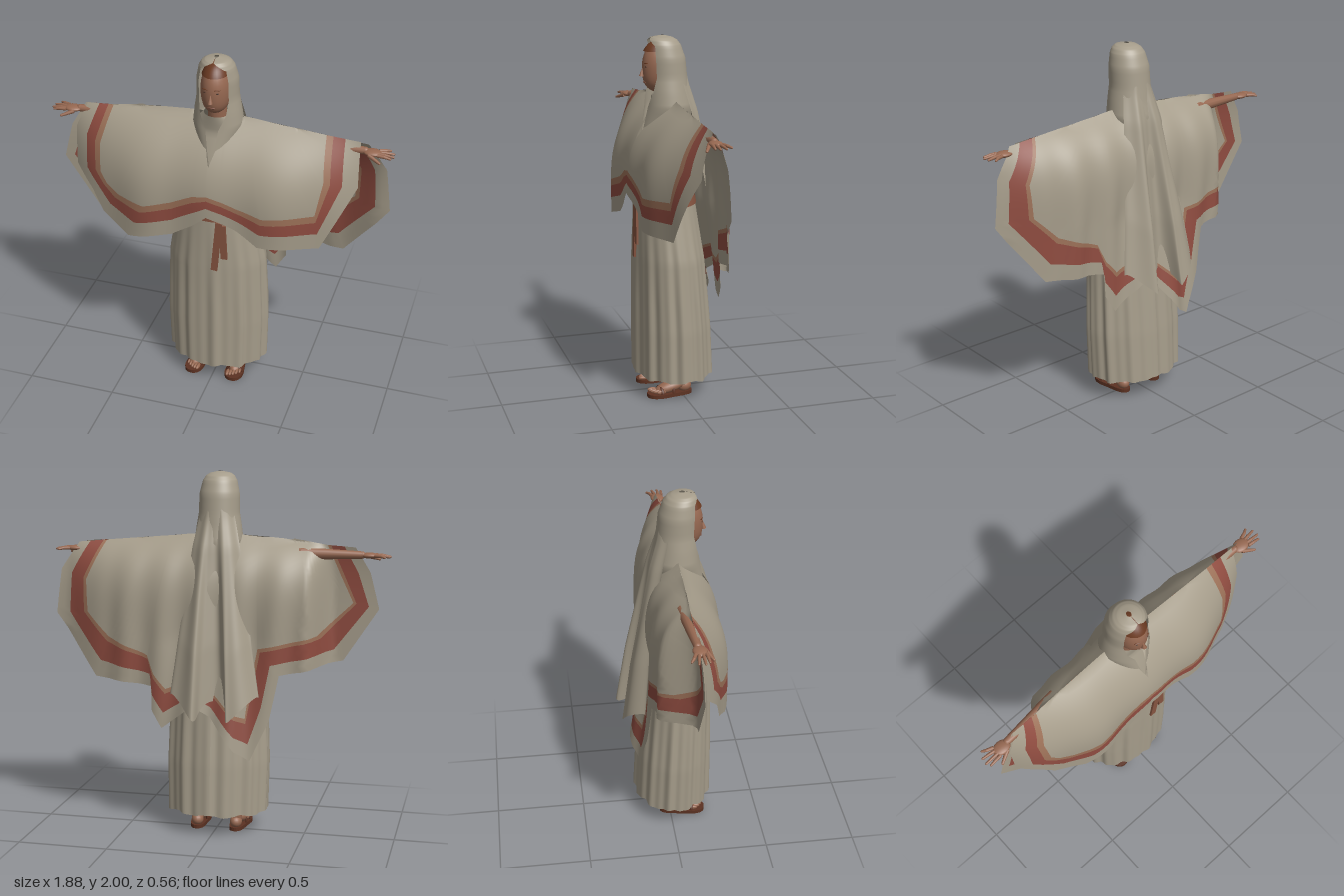
import * as THREE from 'three';

const mat = (name, color) => new THREE.MeshStandardMaterial({ name, color, side: THREE.DoubleSide });
const cloth = mat('cloth', 0xa59c8a), red = mat('redTrim', 0x8f4c40), tan = mat('tanTrim', 0x9c7158);
const skin = mat('skin', 0x966851), hair = mat('hair', 0x6a3a22), leather = mat('leather', 0x5c3222);
const sashMat = mat('sash', 0x865440), dark = mat('eyes', 0x4e3529), lip = mat('lips', 0x7d4f3f);

const clamp = (v, a = 0, b = 1) => Math.min(b, Math.max(a, v));
const lerp = THREE.MathUtils.lerp, smooth = THREE.MathUtils.smoothstep;

function mesh(name, geo, m, parent, pos = [0, 0, 0], scale = [1, 1, 1]) {
  const o = new THREE.Mesh(geo, m);
  o.name = name; o.position.set(...pos); o.scale.set(...scale);
  parent.add(o);
  return o;
}

// Grid surface from a rule; bandOf gives the material index for a row
function sheet(name, fn, nu, vs, mats, parent, bandOf = () => 0) {
  const p = [], idx = [], g = new THREE.BufferGeometry();
  for (const v of vs) for (let i = 0; i <= nu; i++) p.push(...fn(i / nu, v));
  vs.slice(1).forEach((v, j) => {
    const start = idx.length;
    for (let i = 0; i < nu; i++) {
      const a = j * (nu + 1) + i, b = a + nu + 1;
      idx.push(a, b, a + 1, b, b + 1, a + 1);
    }
    g.addGroup(start, idx.length - start, bandOf((v + vs[j]) / 2));
  });
  g.setAttribute('position', new THREE.Float32BufferAttribute(p, 3));
  g.setIndex(idx);
  g.computeVertexNormals();
  return mesh(name, g, mats, parent);
}
const steps = (n, a = 0, b = 1) => Array.from({ length: n + 1 }, (_, i) => lerp(a, b, i / n));

// Interpolate a table of rows at 0..1
function along(rows, t) {
  const s = clamp(t) * (rows.length - 1), i = Math.min(rows.length - 2, Math.floor(s));
  return rows[i].map((a, k) => lerp(a, rows[i + 1][k], s - i));
}
// Interpolate rows keyed by descending height
function atHeight(rows, y) {
  let i = 0;
  while (i < rows.length - 2 && y < rows[i + 1][0]) i++;
  const t = clamp((y - rows[i][0]) / (rows[i + 1][0] - rows[i][0]));
  return rows[i].map((a, k) => lerp(a, rows[i + 1][k], t));
}

// Tapered limb with a round end
function limb(name, a, b, ra, rb, m, parent) {
  const A = new THREE.Vector3(...a), B = new THREE.Vector3(...b), d = B.clone().sub(A);
  const o = mesh(name, new THREE.CylinderGeometry(rb, ra, d.length(), 12), m, parent, A.clone().add(B).multiplyScalar(0.5).toArray());
  o.quaternion.setFromUnitVectors(new THREE.Vector3(0, 1, 0), d.normalize());
  mesh(name + 'Tip', new THREE.SphereGeometry(rb, 12, 8), m, parent, b);
}

// Cape columns: shoulder x,y; inner trim edge x,y; hem x,y
const frontCols = [
  [-.42, 1.645, -.59, 1.615, -.74, 1.605], [-.41, 1.64, -.64, 1.42, -.80, 1.47], [-.38, 1.64, -.63, 1.27, -.80, 1.25],
  [-.34, 1.645, -.59, 1.21, -.69, 1.14], [-.3, 1.65, -.52, 1.17, -.62, 1.02], [-.22, 1.655, -.36, 1.15, -.46, .93],
  [-.14, 1.66, -.2, 1.2, -.2, 1.0], [-.06, 1.62, -.08, 1.26, -.08, 1.08], [0, 1.43, 0, 1.275, 0, 1.15],
  [.06, 1.62, .08, 1.255, .08, 1.125], [.14, 1.66, .16, 1.225, .16, 1.09], [.2, 1.655, .3, 1.19, .28, 1.01],
  [.34, 1.64, .57, 1.22, .6, 1.02], [.41, 1.635, .6, 1.4, .77, 1.37], [.42, 1.635, .58, 1.62, .76, 1.608]];
const backCols = [
  [.42, 1.635, .64, 1.615, .8, 1.6], [.40, 1.635, .74, 1.4, .9, 1.45], [.36, 1.64, .73, 1.22, .93, 1.2],
  [.3, 1.645, .6, 1.09, .68, .86], [.24, 1.65, .37, 1.0, .34, .83], [.2, 1.655, .33, .9, .34, .7],
  [.15, 1.66, .26, .82, .28, .6], [.1, 1.66, .12, .87, .1, .74], [0, 1.66, 0, .82, 0, .68],
  [-.08, 1.66, -.13, .7, -.14, .5], [-.13, 1.66, -.19, .68, -.22, .45], [-.18, 1.655, -.21, .85, -.32, .67],
  [-.24, 1.65, -.25, 1.06, -.37, .92], [-.3, 1.65, -.56, 1.13, -.69, .98], [-.36, 1.645, -.74, 1.3, -.88, 1.27],
  [-.40, 1.64, -.67, 1.45, -.83, 1.47], [-.42, 1.645, -.6, 1.615, -.75, 1.605]];
const drop = (x, y) => clamp((1.66 - .07 * Math.abs(x) - y) / .5);
function frontZ(x, y) {
  const t = drop(x, y), d = Math.max(0, Math.abs(x) - .25), reach = .272 - .6 * d * d;
  return .04 + (reach - .04) * (1 - Math.pow(1 - t, 2.7)) + .008 * t * Math.cos(x * 17);
}
function backZ(x, y) {
  const t = drop(x, y), g = 1 - Math.pow(1 - t, 4), ax = Math.abs(x), d = Math.max(0, ax - .35);
  const depth = Math.max(0, .13 - .5 * d * d) + .15 * clamp(1.1 - y) * (1 - smooth(ax, .1, .4));
  const folds = .014 * t * Math.sin(x * 30 + y * 2) * (1 - smooth(ax, .5, .75));
  return lerp(.04 - (depth + .04) * g + folds, .04 + .03 * g, smooth(-x, .5, .64));
}
function cape(name, cols, zOf, tanEnd, redEnd, parent) {
  const vs = [...steps(20), 1 + tanEnd, lerp(1 + tanEnd, 1 + redEnd, .5), 1 + redEnd, 1.8, 2];
  sheet(name, (u, v) => {
    const [ix, iy, bx, by, hx, hy] = along(cols, u);
    const x = v < 1 ? lerp(ix, bx, v) : lerp(bx, hx, v - 1), y = v < 1 ? lerp(iy, by, v) : lerp(by, hy, v - 1);
    return [x, y, zOf(x, y)];
  }, (cols.length - 1) * 8, vs, [cloth, tan, red], parent, v => v < 1 || v > 1 + redEnd ? 0 : v < 1 + tanEnd ? 1 : 2);
}

// Robe rows: height, half width, front z, back z
const robeRows = [[1.68, .07, .135, .0], [1.58, .16, .12, -.05], [1.45, .19, .16, -.07], [1.2, .2, .225, -.085],
  [1.12, .22, .232, -.095], [.8, .272, .238, -.145], [.4, .286, .24, -.18], [.12, .28, .24, -.195]];
function robePoint(u, y, grow = 0) {
  const [, a, f, b] = atHeight(robeRows, y), th = u * Math.PI * 2, k = clamp((1.15 - y) / .6);
  const r = 1 + grow + k * (.024 * Math.sin(13 * th) + .016 * Math.sin(23 * th + 1));
  const hem = y < .13 ? .006 * Math.sin(9 * th + 1) : 0;
  return [a * r * Math.sin(th), y + hem, (f + b) / 2 - (f - b) / 2 * r * Math.cos(th)];
}

// Hood rows: height, half width, front z, back z, half opening
const hoodRows = [[2, .012, .09, .06, .001], [1.99, .058, .14, .02, .002], [1.976, .078, .155, -.005, .03],
  [1.95, .094, .162, -.025, .068], [1.88, .11, .165, -.05, .08], [1.78, .112, .16, -.06, .08], [1.7, .125, .165, -.07, .07],
  [1.62, .135, .17, -.085, .035], [1.5, .1, .19, -.08, .018], [1.4, .06, .205, -.07, .001]];

function buildHead(root) {
  const head = new THREE.Group(); head.name = 'head'; root.add(head);
  // Face with a fuller jaw and chin
  const ball = new THREE.SphereGeometry(1, 28, 20), pos = ball.attributes.position;
  for (let i = 0; i < pos.count; i++) {
    const y = pos.getY(i), low = y < 0 ? y * y : 0;
    pos.setXYZ(i, pos.getX(i) * (1 + .22 * low), y, pos.getZ(i) * (1 + .35 * low));
  }
  ball.computeVertexNormals();
  mesh('face', ball, skin, head, [0, 1.835, .085], [.079, .14, .1]);
  mesh('hair', new THREE.SphereGeometry(1, 28, 10, 0, Math.PI * 2, 0, .98), hair, head, [0, 1.838, .088], [.086, .143, .108]);
  const nose = mesh('nose', new THREE.ConeGeometry(.013, .052, 10), skin, head, [0, 1.81, .186], [1, 1, 1.1]);
  nose.rotation.x = -.15;
  const dot = new THREE.SphereGeometry(1, 12, 8);
  mesh('mouth', dot, lip, head, [0, 1.752, .172], [.022, .005, .007]);
  for (const s of [-1, 1]) {
    mesh('eye', dot, dark, head, [s * .03, 1.838, .174], [.012, .004, .004]);
    const brow = mesh('brow', dot, hair, head, [s * .031, 1.856, .174], [.018, .003, .005]);
    brow.rotation.y = s * .35;
  }
  limb('neck', [0, 1.56, .05], [0, 1.74, .07], .055, .05, skin, head);
}

function buildArm(s, root) {
  const arm = new THREE.Group(); arm.name = s > 0 ? 'leftArm' : 'rightArm'; root.add(arm);
  const elbow = s > 0 ? [.46, 1.553, .032] : [-.46, 1.568, .02];
  limb('upperArm', [s * .16, 1.55, .02], elbow, .04, .034, skin, arm);
  limb('forearm', elbow, [s * .785, 1.565, .042], .034, .02, skin, arm);
  mesh('palm', new THREE.SphereGeometry(1, 16, 10), skin, arm, [s * .825, 1.563, .048], [.05, .016, .037]);
  [-.004, .028, .06, .082].forEach((z, i) => {
    const knuckle = [s * .855, 1.564, .022 + i * .018], mid = [s * .89, 1.563, lerp(knuckle[2], z, .5)];
    limb('finger', knuckle, mid, .0095, .0085, skin, arm);
    limb('fingerEnd', mid, [s * [.91, .932, .935, .922][i], 1.558, z], .0085, .006, skin, arm);
  });
  limb('thumb', [s * .81, 1.558, .075], [s * .872, 1.538, .108], .012, .007, skin, arm);
}

function buildFoot(s, root) {
  const foot = new THREE.Group(); foot.name = s > 0 ? 'leftFoot' : 'rightFoot';
  foot.position.x = s * .112; foot.rotation.y = s * .06; root.add(foot);
  // Sandal sole
  const sole = new THREE.Shape();
  sole.moveTo(0, -.06);
  sole.bezierCurveTo(.05, -.06, .04, .03, .052, .1);
  sole.bezierCurveTo(.06, .17, .03, .2, 0, .2);
  sole.bezierCurveTo(-.05, .2, -.06, .15, -.052, .1);
  sole.bezierCurveTo(-.04, .03, -.05, -.06, 0, -.06);
  const g = new THREE.ExtrudeGeometry(sole, { depth: .02, bevelEnabled: false, curveSegments: 10 });
  g.rotateX(Math.PI / 2); g.translate(0, .02, 0);
  mesh('sole', g, leather, foot);
  const ball = new THREE.SphereGeometry(1, 18, 12);
  mesh('heel', ball, skin, foot, [0, .045, -.015], [.034, .035, .042]);
  const instep = mesh('instep', ball, skin, foot, [0, .05, .065], [.042, .033, .095]);
  instep.rotation.x = .24;
  for (let i = 0; i < 5; i++) mesh('toe', ball, skin, foot, [s * (-.032 + i * .0165), .031, .165 - i * i * .0022], [.0105 - i * .0006, .012, .027]);
  limb('shin', [0, .05, -.005], [0, .42, -.02], .031, .045, skin, foot);
  // Straps over toes and instep, and round the ankle
  for (const [z, r, h] of [[.125, .044, .8], [.06, .042, 1.35]])
    mesh('strap', new THREE.TorusGeometry(r, .006, 6, 18, Math.PI), leather, foot, [0, .02, z], [1, h, 1.6]);
  const ankle = mesh('ankleStrap', new THREE.TorusGeometry(.034, .006, 6, 20), leather, foot, [0, .1, -.006]);
  ankle.rotation.x = Math.PI / 2;
}

export function createModel() {
  const root = new THREE.Group(); root.name = 'robedFigure';
  sheet('robe', (u, v) => robePoint(u, lerp(1.68, .12, v)), 156, steps(60), cloth, root);
  sheet('sash', (u, v) => robePoint(u, v, .035), 60, [1.1, 1.115, 1.13, 1.145], sashMat, root);
  for (const [x, y, len, tilt] of [[.05, .955, .31, -.09], [.088, .99, .21, .05]]) {
    const end = mesh('sashEnd', new THREE.BoxGeometry(.036, len, .012), sashMat, root, [x, y, .248]);
    end.rotation.z = tilt;
  }
  cape('frontCape', frontCols, frontZ, .2, .55, root);
  cape('backCape', backCols, backZ, .12, .6, root);
  // Hood, open at the face and closing to a point on the chest
  sheet('hood', (u, v) => {
    const [y, a, f, b, o] = along(hoodRows, v), end = Math.PI - Math.asin(clamp(o / a)), th = (u * 2 - 1) * end;
    return [a * Math.sin(th), y, (f + b) / 2 - (f - b) / 2 * Math.cos(th)];
  }, 48, steps(36), cloth, root);
  // Long veil falling down the back in two deep folds
  const veilRows = [[1.9, .06, -.045], [1.75, .1, -.062], [1.6, .13, -.1], [1.34, .165, -.14], [1.05, .2, -.185], [.66, .245, -.225]];
  sheet('backVeil', (u, v) => {
    const s = u * 2 - 1, y = lerp(1.88, .72, v), [, w, z] = atHeight(veilRows, y), k = v * v;
    const lobes = .055 * Math.cos((Math.abs(s) - .5) * Math.PI * 2) + .01 * Math.sin(s * 15);
    const wrap = .05 * (1 - v) * s * s;
    return [w * s - .02 * v + .02 * k * Math.sin(s * 9), y + k * (.05 * Math.cos(s * 7) + .04 * s * s), z - lobes * Math.sqrt(k) + wrap];
  }, 64, steps(40), cloth, root);
  buildHead(root);
  for (const s of [-1, 1]) { buildArm(s, root); buildFoot(s, root); }
  return root;
}
